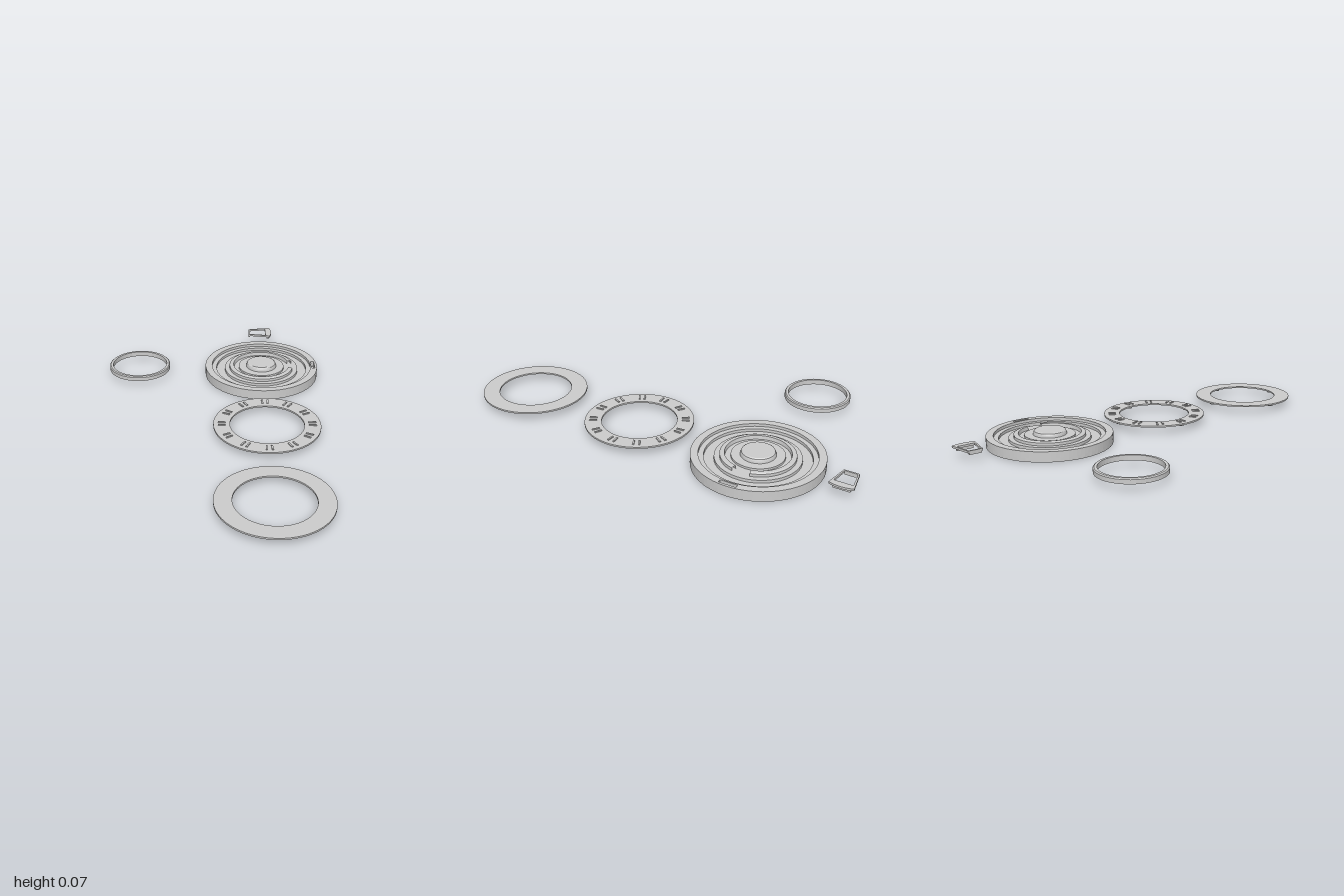
import * as THREE from 'three';

const SEG = 48;
const CX = 0.26;
const material = new THREE.MeshStandardMaterial({ color: 0xcccccc, flatShading: true, side: THREE.DoubleSide });

function add(parent, name, geometry, x = 0, y = 0, z = 0) {
  const mesh = new THREE.Mesh(geometry, material);
  mesh.name = name;
  mesh.position.set(x, y, z);
  parent.add(mesh);
  return mesh;
}

function group(parent, name, x, z) {
  const g = new THREE.Group();
  g.name = name;
  g.position.set(x, 0, z);
  parent.add(g);
  return g;
}

// Profile of [radius, height] pairs, listed from the bottom outwards and up
function lathe(points, start = 0, length = Math.PI * 2) {
  return new THREE.LatheGeometry(points.map(([r, y]) => new THREE.Vector2(r, y)), SEG, start, length);
}

// Flat plate lying in the xz plane
function plate(shape, depth) {
  return new THREE.ExtrudeGeometry(shape, { depth, bevelEnabled: false, curveSegments: SEG }).rotateX(-Math.PI / 2);
}

function polygon(points, Type = THREE.Shape) {
  return new Type(points.map(([x, y]) => new THREE.Vector2(x, y)));
}

function ring(outer, inner) {
  const shape = new THREE.Shape().absarc(0, 0, outer, 0, Math.PI * 2);
  shape.holes.push(new THREE.Path().absarc(0, 0, inner, 0, Math.PI * 2, true));
  return shape;
}

// Flat ring with four guide pegs underneath
function addDisc(parent, name, z) {
  const g = group(parent, name, CX, z);
  add(g, 'discPlate', plate(ring(0.26, 0.18), 0.008), 0, 0.035, 0);
  for (let i = 0; i < 4; i++) {
    const a = i * Math.PI / 2;
    add(g, 'guidePeg', new THREE.CylinderGeometry(0.016, 0.016, 0.014, 16),
      0.22 * Math.cos(a), 0.029, 0.22 * Math.sin(a));
  }
  return g;
}

export function createModel() {
  const model = new THREE.Group();
  model.name = 'dialKit';

  // Round base with stepped recess, peg groove and central boss
  const base = group(model, 'base', CX, -0.527);
  add(base, 'baseBody', lathe([
    [0, 0], [0.303, 0], [0.303, 0.02], [0.267, 0.02], [0.267, 0.036],
    [0.243, 0.036], [0.243, 0.022], [0.197, 0.022], [0.197, 0.036],
    [0.122, 0.036], [0.122, 0.046], [0.081, 0.046], [0.079, 0.056],
    [0.076, 0.064], [0.070, 0.068], [0, 0.068],
  ]));

  // Outer rim with a pocket for the clip
  const rim = ring(0.303, 0.267);
  rim.holes.push(polygon([[0.273, -0.042], [0.273, 0.042], [0.29, 0.042], [0.29, -0.042]], THREE.Path));
  add(base, 'rim', plate(rim, 0.03), 0, 0.02, 0);

  // Raised retaining ridge, open on one side
  const gap = 0.25;
  add(base, 'retainingRidge', lathe(
    [[0.172, 0.036], [0.172, 0.05], [0.165, 0.054], [0.15, 0.054], [0.147, 0.036]],
    Math.PI / 2 + gap, Math.PI * 2 - 2 * gap));

  // Numberless dial with raised marks, and the plain cover disc
  const dial = addDisc(model, 'markedDial', 0.103);
  for (let i = 0; i < 12; i++) {
    const a = i * Math.PI / 6;
    for (const side of [-1, 1]) {
      const b = a + side * 0.06;
      const mark = add(dial, 'raisedMark', new THREE.BoxGeometry(0.036, 0.005, 0.008),
        0.22 * Math.cos(b), 0.0455, 0.22 * Math.sin(b));
      mark.rotation.y = -b;
    }
  }
  addDisc(model, 'coverDisc', 0.735);

  // Snap ring with chamfered top
  const snap = group(model, 'snapRing', -0.4, -0.527);
  add(snap, 'snapRingBody', lathe([
    [0.145, 0.033], [0.163, 0.033], [0.163, 0.053], [0.158, 0.058],
    [0.145, 0.058], [0.145, 0.033],
  ]));

  // Tapered pointer frame with a curved outer end
  const clip = group(model, 'pointerClip', CX, -0.943);
  const frame = new THREE.Shape();
  frame.moveTo(-0.055, -0.036);
  frame.lineTo(0.066, -0.057);
  frame.quadraticCurveTo(0.088, 0, 0.066, 0.057);
  frame.lineTo(-0.055, 0.036);
  frame.closePath();
  frame.holes.push(polygon([[-0.047, -0.03], [-0.047, 0.03], [0.042, 0.044], [0.042, -0.044]], THREE.Path));
  add(clip, 'pointerFrame', plate(frame, 0.01), 0, 0.05, 0);
  add(clip, 'pocketTab', new THREE.BoxGeometry(0.014, 0.016, 0.08), 0.056, 0.043, 0);
  add(clip, 'innerTab', new THREE.BoxGeometry(0.008, 0.01, 0.06), -0.051, 0.046, 0);

  return model;
}
